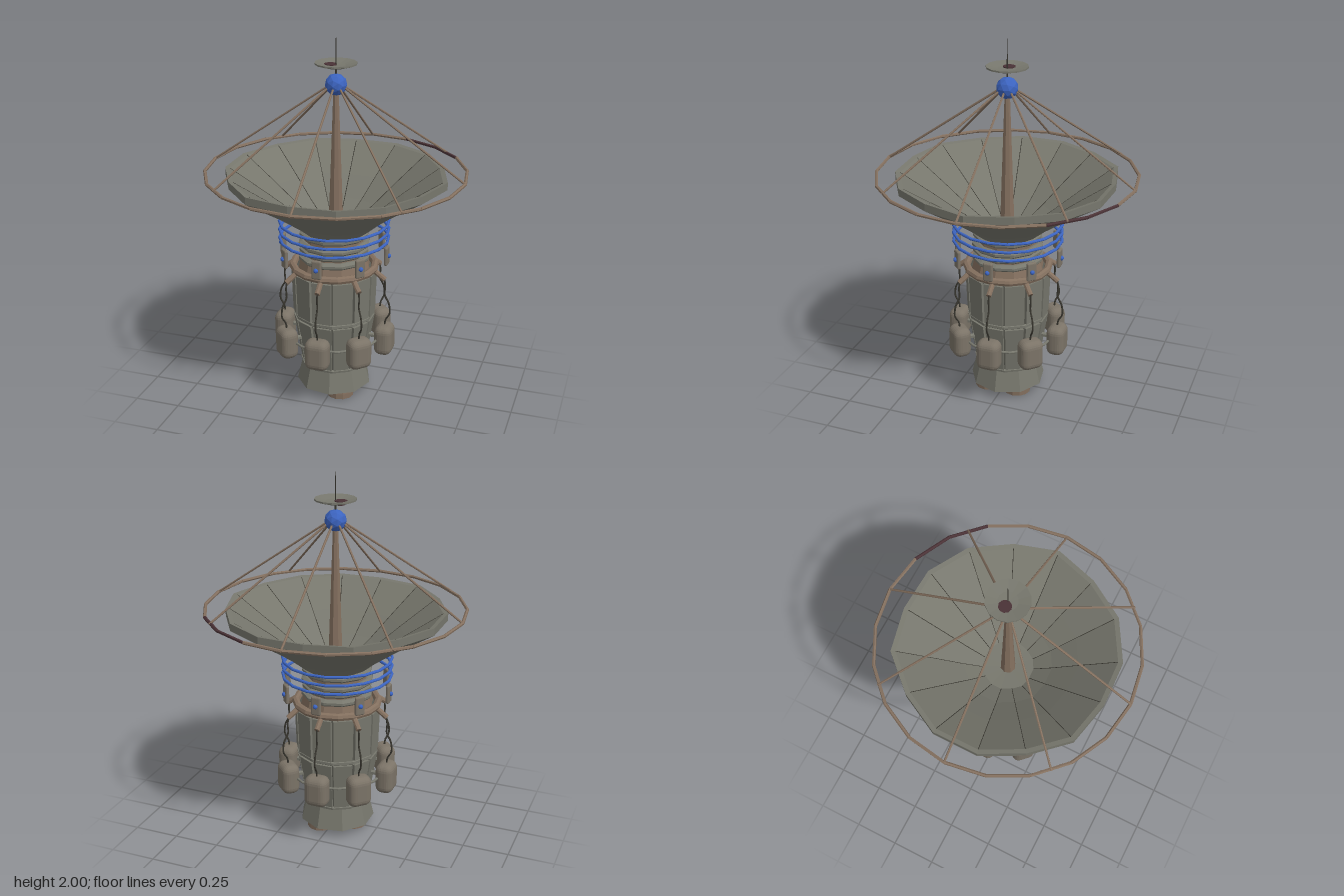
import * as THREE from 'three';
import { RoundedBoxGeometry } from 'three/addons/geometries/RoundedBoxGeometry.js';

const paint = (name, color, extra = {}) => {
  const m = new THREE.MeshStandardMaterial({ color, flatShading: true, ...extra });
  m.name = name;
  return m;
};

export function createModel() {
  const grey = paint('hull grey', 0x77776d);
  const seam = paint('seam grey', 0x5a5a52);
  const brown = paint('worn brown', 0x84705f);
  const taupe = paint('tank taupe', 0x7b7367);
  const dark = paint('dark line', 0x38362f);
  const maroon = paint('scorched maroon', 0x4a3236, { side: THREE.DoubleSide });
  const blue = paint('signal blue', 0x3c64c0);

  const model = new THREE.Group();
  const body = new THREE.Group();
  body.name = 'body';
  body.position.x = -0.01;
  model.add(body);

  const add = (parent, name, geo, mat, x = 0, y = 0, z = 0) => {
    const m = new THREE.Mesh(geo, mat);
    m.name = name;
    m.position.set(x, y, z);
    parent.add(m);
    return m;
  };
  const V = (x, y, z) => new THREE.Vector3(x, y, z);
  const polar = (r, y, a) => V(r * Math.cos(a), y, -r * Math.sin(a));
  const lathe = (pts, n, phi = Math.PI / 2) =>
    new THREE.LatheGeometry(pts.map(p => new THREE.Vector2(...p)), n, phi);
  const rod = (parent, name, a, b, r, mat, sides = 6) => {
    const d = b.clone().sub(a);
    const m = add(parent, name, new THREE.CylinderGeometry(r, r, d.length(), sides), mat);
    m.position.copy(a).addScaledVector(d, 0.5);
    m.quaternion.setFromUnitVectors(V(0, 1, 0), d.normalize());
    return m;
  };
  const hoop = (parent, name, R, r, y, n, mat) => {
    const g = new THREE.TorusGeometry(R, r, 8, n);
    g.rotateX(Math.PI / 2);
    return add(parent, name, g, mat, 0, y, 0);
  };

  // Main dish: fifteen sides with slightly uneven radii
  const uneven = [0.6, 0.577, 0.592, 0.592, 0.577].map(r => r / 0.6);
  const dishProfile = [[0, 0.94], [0.17, 0.945], [0.25, 1.01], [0.385, 1.105], [0.6, 1.24],
    [0.6, 1.28], [0.575, 1.275], [0.375, 1.14], [0.24, 1.045], [0.14, 0.985], [0.001, 0.975]];
  const dishGeo = lathe(dishProfile, 15);
  const dp = dishGeo.attributes.position;
  for (let i = 0; i < dp.count; i++) {
    const k = uneven[Math.floor(i / dishProfile.length) % 5];
    dp.setX(i, dp.getX(i) * k);
    dp.setZ(i, dp.getZ(i) * k);
  }
  add(model, 'mainDish', dishGeo, grey);
  for (let i = 0; i < 15; i++) {
    const a = i * Math.PI * 2 / 15;
    for (let j = 6; j < 9; j++) {
      const [p, q] = [dishProfile[j], dishProfile[j + 1]];
      rod(model, 'dishSeam', polar(p[0] * uneven[i % 5], p[1], a), polar(q[0] * uneven[i % 5], q[1], a), 0.002, dark, 4);
    }
  }

  // Outer hoop, with a scorched stretch, and its eight stays
  for (let i = 0; i < 20; i++) {
    const a = i * Math.PI / 10;
    rod(model, 'outerHoop', polar(0.69, 1.28, a), polar(0.69, 1.28, a + Math.PI / 10), 0.009,
      i === 2 || i === 3 ? maroon : brown);
  }
  for (let i = 0; i < 8; i++) {
    const a = i * Math.PI / 4;
    rod(model, 'stay', polar(0.69, 1.28, a), polar(0.02, 1.75, a), 0.006, brown);
  }

  // Mast, feed ball, small reflector and tip
  add(model, 'mast', new THREE.CylinderGeometry(0.014, 0.042, 0.77, 8), brown, 0, 1.345, 0);
  add(model, 'feedBall', new THREE.IcosahedronGeometry(0.058, 1), blue, 0, 1.745, 0);
  add(model, 'smallReflector', lathe([[0, 1.832], [0.05, 1.834], [0.11, 1.852], [0.11, 1.86],
    [0.05, 1.848], [0.001, 1.845]], 14), grey);
  add(model, 'reflectorSpotTop', new THREE.CylinderGeometry(0.033, 0.033, 0.005, 10), maroon, -0.03, 1.849, 0);
  add(model, 'reflectorSpotBelow', new THREE.CylinderGeometry(0.025, 0.025, 0.005, 10), maroon, -0.025, 1.831, 0);
  add(model, 'tip', new THREE.CylinderGeometry(0.001, 0.005, 0.22, 6), dark, 0, 1.89, 0);

  // Neck with stepped collars
  add(body, 'neck', lathe([[0.2, 0.73], [0.185, 0.79], [0.165, 0.8], [0.165, 0.96]], 12), brown);
  for (const [y, r] of [[0.8, 0.195], [0.845, 0.19], [0.88, 0.195], [0.935, 0.19]]) {
    add(body, 'neckCollar', lathe([[0.15, y - 0.015], [r - 0.01, y - 0.015], [r, y - 0.005],
      [r, y + 0.008], [r - 0.02, y + 0.018], [0.15, y + 0.018]], 12), grey);
  }
  hoop(body, 'shoulderRing', 0.225, 0.021, 0.745, 16, brown);
  for (const y of [0.905, 0.953, 1.0]) hoop(body, 'blueHoop', 0.295, 0.008, y, 18, blue);

  // Hull core, tapered wall panels and bands
  const sides = 12;
  const half = Math.PI / sides;
  add(body, 'hullCore', lathe([[0, 0.15], [0.17, 0.16], [0.212, 0.46], [0.22, 0.73], [0.16, 0.755]],
    sides, half), seam);
  const panel = (y0, y1, r0, r1) => {
    const h = y1 - y0;
    const g = new THREE.BoxGeometry(1, h, 0.022);
    const p = g.attributes.position;
    for (let i = 0; i < p.count; i++) {
      const r = THREE.MathUtils.lerp(r0, r1, p.getY(i) / h + 0.5);
      p.setX(i, p.getX(i) * 2 * r * Math.tan(half) * 0.88);
      p.setZ(i, p.getZ(i) + r - 0.011);
    }
    return g.translate(0, (y0 + y1) / 2, 0);
  };
  const upper = panel(0.48, 0.72, 0.22, 0.228);
  const lower = panel(0.18, 0.45, 0.176, 0.218);
  for (let i = 0; i < sides; i++) {
    add(body, 'upperPanel', upper, grey).rotation.y = i * 2 * half;
    add(body, 'lowerPanel', lower, grey).rotation.y = i * 2 * half;
  }
  add(body, 'waistBand', lathe([[0.205, 0.45], [0.222, 0.458], [0.222, 0.472], [0.205, 0.48]], sides, half), grey);
  add(body, 'lowerBand', lathe([[0.165, 0.16], [0.185, 0.166], [0.187, 0.178], [0.165, 0.185]], sides, half), grey);

  // Eight stations: clamp plate, elbow, hose and tank
  hoop(body, 'tankRail', 0.27, 0.007, 0.345, 16, grey);
  const tank = new RoundedBoxGeometry(0.132, 0.172, 0.1, 3, 0.04);
  const plate = new RoundedBoxGeometry(0.054, 0.105, 0.02, 2, 0.009);
  const hose = new THREE.TubeGeometry(new THREE.CatmullRomCurve3([
    V(0, 0.695, 0.285), V(0, 0.65, 0.29), V(0, 0.6, 0.288), V(0, 0.55, 0.312),
    V(0, 0.49, 0.317), V(0, 0.45, 0.295), V(0, 0.41, 0.29)]), 20, 0.005, 6);
  for (let i = 0; i < 8; i++) {
    const station = new THREE.Group();
    station.name = 'station';
    station.rotation.y = i * Math.PI / 4;
    body.add(station);
    add(station, 'clampPlate', plate, taupe, 0, 0.833, 0.295);
    add(station, 'clampLight', new THREE.IcosahedronGeometry(0.013, 1), blue, 0, 0.833, 0.306);
    rod(station, 'elbow', V(0, 0.74, 0.22), V(0, 0.69, 0.288), 0.015, brown, 8);
    add(station, 'hose', hose, dark);
    add(station, 'tank', tank, taupe, 0, 0.337, 0.29);
    rod(station, 'tankMount', V(0, 0.345, 0.18), V(0, 0.345, 0.26), 0.014, grey);
  }

  // Flared skirt and three engine nozzles
  add(body, 'skirt', lathe([[0.12, 0.075], [0.185, 0.045], [0.207, 0.045], [0.178, 0.165], [0.1, 0.17]], 9), grey);
  add(body, 'skirtFloor', new THREE.CylinderGeometry(0.185, 0.185, 0.01, 9), seam, 0, 0.08, 0);
  const nozzle = lathe([[0.06, 0.1], [0.06, 0.012], [0.075, 0], [0.076, 0.03], [0.07, 0.1]], 12);
  for (const [x, z] of [[0.065, -0.08], [0.065, 0.09], [-0.095, 0.005]]) {
    add(body, 'nozzle', nozzle, brown, x, 0, z);
    add(body, 'nozzleThroat', new THREE.CylinderGeometry(0.058, 0.059, 0.055, 12, 1, true), maroon, x, 0.04, z);
    add(body, 'nozzleCore', new THREE.CylinderGeometry(0.06, 0.06, 0.006, 12), maroon, x, 0.066, z);
  }
  return model;
}
